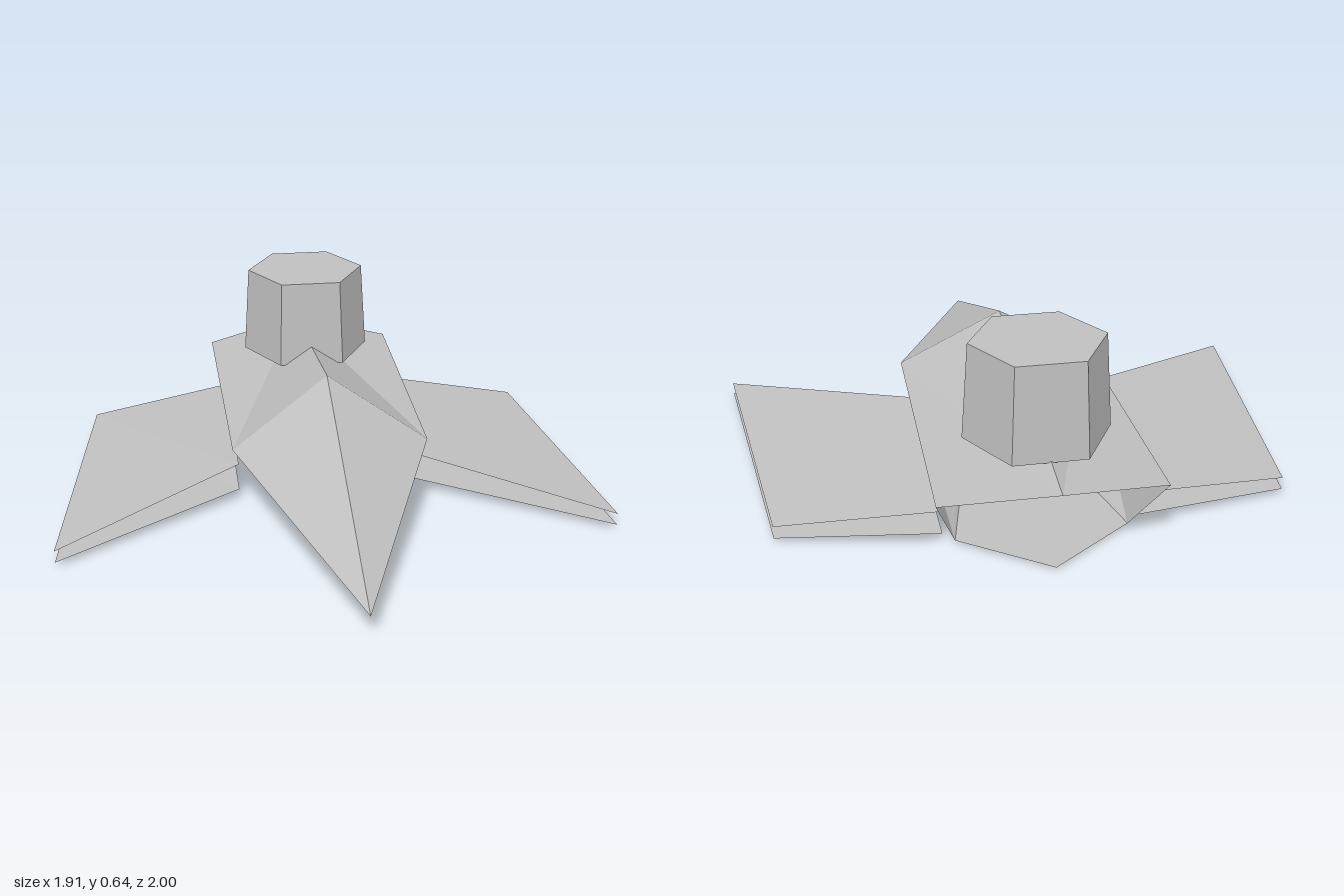
import * as THREE from 'three';

const hullGrey = new THREE.MeshStandardMaterial({ color: 0xc0c0c0, flatShading: true, side: THREE.DoubleSide });
hullGrey.name = 'hullGrey';

// Flat-faced mesh from triangles of [x, y, z] points
function facetMesh(name, triangles) {
  const geometry = new THREE.BufferGeometry();
  geometry.setAttribute('position', new THREE.Float32BufferAttribute(triangles.flat(2), 3));
  geometry.computeVertexNormals();
  const mesh = new THREE.Mesh(geometry, hullGrey);
  mesh.name = name;
  return mesh;
}

// Mirror triangles across x = 0, reversing the corner order
const mirror = (triangles) =>
  triangles.map((t) => t.map(([x, y, z]) => [-x, y, z]).reverse());

export function createModel() {
  const model = new THREE.Group();
  model.name = 'spaceship';

  // Hull corners on the centre line and on the left half
  const nose = [0, 0.1, 1];
  const peak = [0, 0.46, 0.02];
  const tail = [0, 0.3, -1];
  const keelFront = [0, 0, 0.55];
  const keelBack = [0, 0.01, -0.935];
  const shoulder = [0.345, 0.24, 0.12];
  const rearCorner = [0.36, 0.24, -0.9];
  const floorCorner = [0.28, 0.01, -0.73];

  // Each hull part is drawn for the left half and mirrored; the stern stays open
  const hull = new THREE.Group();
  hull.name = 'hull';
  const hullParts = {
    deck: [[nose, shoulder, peak], [peak, shoulder, tail], [shoulder, rearCorner, tail]],
    sideWalls: [[nose, floorCorner, shoulder], [nose, keelFront, floorCorner], [shoulder, floorCorner, rearCorner]],
    floor: [[keelFront, keelBack, floorCorner]],
  };
  for (const [name, half] of Object.entries(hullParts)) {
    hull.add(facetMesh(name, [...half, ...mirror(half)]));
  }
  model.add(hull);

  // Two stacked thin wings on each side
  const wingLevels = [
    { name: 'UpperWing', rootFront: 0.14, rootBack: 0.12, tip: 0.062 },
    { name: 'LowerWing', rootFront: 0.04, rootBack: 0.04, tip: 0.02 },
  ];
  for (const { name, rootFront, rootBack, tip } of wingLevels) {
    const a = [0.32, rootFront, 0.035];
    const b = [0.957, tip, 0.43];
    const c = [0.84, tip, -0.63];
    const d = [0.32, rootBack, -0.73];
    const wing = [[a, b, c], [a, c, d]];
    model.add(facetMesh('left' + name, wing), facetMesh('right' + name, mirror(wing)));
  }

  // Six-sided tower on the rear deck
  const tower = new THREE.Mesh(
    new THREE.CylinderGeometry(0.22, 0.24, 0.32, 6).rotateY(Math.PI / 2), hullGrey);
  tower.name = 'tower';
  tower.position.set(0, 0.48, -0.63);
  model.add(tower);

  return model;
}
